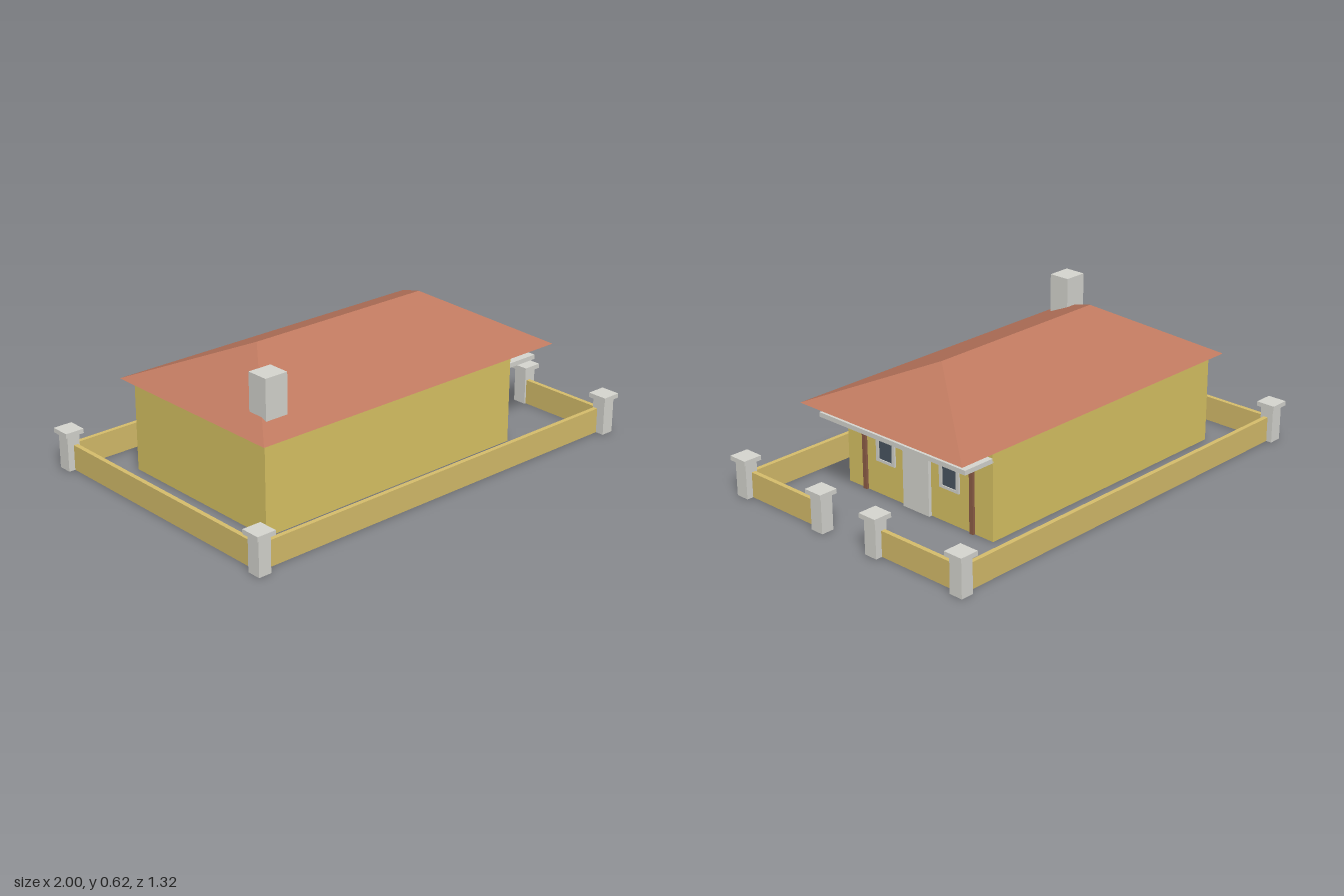
import * as THREE from 'three';

const mat = (color) => new THREE.MeshStandardMaterial({ color });

export function createModel() {
  const model = new THREE.Group();
  model.name = 'house';
  const wall = mat(0xdcc665), fence = mat(0xd8bf6c), tile = mat(0xc07a60);
  const stone = mat(0xd8d8d2), wood = mat(0x8f5f48), glass = mat(0x4a5663);

  // Box given by its extents on each axis
  const box = (name, material, [x0, x1], [y0, y1], [z0, z1], parent = model) => {
    const mesh = new THREE.Mesh(new THREE.BoxGeometry(x1 - x0, y1 - y0, z1 - z0), material);
    mesh.position.set((x0 + x1) / 2, (y0 + y1) / 2, (z0 + z1) / 2);
    mesh.name = name;
    parent.add(mesh);
    return mesh;
  };

  // Walls, ceiling slab and porch canopy
  box('walls', wall, [-0.76, 0.575], [0, 0.39], [-0.41, 0.41]);
  box('ceilingSlab', stone, [-0.768, 0.735], [0.39, 0.403], [-0.415, 0.415]);
  box('porchCanopy', stone, [0.57, 0.725], [0.335, 0.355], [-0.41, 0.41]);

  // Hipped roof: a box whose top is drawn in to the ridge line
  const roofGeo = new THREE.BoxGeometry(1.585, 0.2, 0.91).toNonIndexed();
  const p = roofGeo.attributes.position;
  for (let i = 0; i < p.count; i++) {
    if (p.getY(i) > 0) {
      p.setX(i, p.getX(i) > 0 ? 0.4425 : -0.4475);
      p.setZ(i, 0);
    }
  }
  roofGeo.computeVertexNormals();
  const roof = new THREE.Mesh(roofGeo, tile);
  roof.position.set(-0.0075, 0.502, 0);
  roof.name = 'roof';
  model.add(roof);

  box('chimney', stone, [-0.705, -0.598], [0.445, 0.621], [0.255, 0.354]);

  // Door, windows and timber posts on the entrance wall
  box('door', stone, [0.57, 0.59], [0, 0.295], [-0.072, 0.074]);
  for (const z of [-0.178, 0.183]) {
    const win = new THREE.Group();
    win.name = 'window';
    box('windowPane', glass, [0.57, 0.579], [0.158, 0.269], [z - 0.039, z + 0.039], win);
    for (const s of [-1, 1]) {
      const zc = z + s * 0.046;
      box('windowJamb', stone, [0.57, 0.583], [0.148, 0.28], [zc - 0.008, zc + 0.008], win);
      const yc = 0.214 + s * 0.06;
      box('windowRail', stone, [0.57, 0.583], [yc - 0.006, yc + 0.006], [z - 0.04, z + 0.04], win);
    }
    model.add(win);
  }
  for (const z of [-0.302, 0.002, 0.306]) {
    box('timberPost', wood, [0.568, 0.586], [0, 0.335], [z - 0.01, z + 0.01]);
  }

  // Stone pillars with caps at the corners and the gate
  const pillar = (x, z) => {
    const g = new THREE.Group();
    g.name = 'fencePillar';
    box('pillarShaft', stone, [-0.029, 0.029], [0, 0.158], [-0.031, 0.031], g);
    box('pillarCap', stone, [-0.043, 0.043], [0.157, 0.177], [-0.044, 0.044], g);
    g.position.set(x, 0, z);
    model.add(g);
  };
  for (const s of [-1, 1]) {
    pillar(-0.957, s * 0.61);
    pillar(0.953, s * 0.61);
    pillar(0.953, s * 0.154);
  }

  // Low boundary walls; the entrance side is open at the gate
  const h = [0, 0.111];
  box('backFence', fence, [-0.94, 0.94], h, [-0.615, -0.595]);
  box('frontFence', fence, [-0.94, 0.94], h, [0.583, 0.603]);
  box('leftFence', fence, [-0.957, -0.937], h, [-0.6, 0.6]);
  box('gateFenceBack', fence, [0.932, 0.952], h, [-0.6, -0.17]);
  box('gateFenceFront', fence, [0.932, 0.952], h, [0.17, 0.6]);

  // Slight turn of the whole plot
  model.rotation.y = -0.004;
  return model;
}
